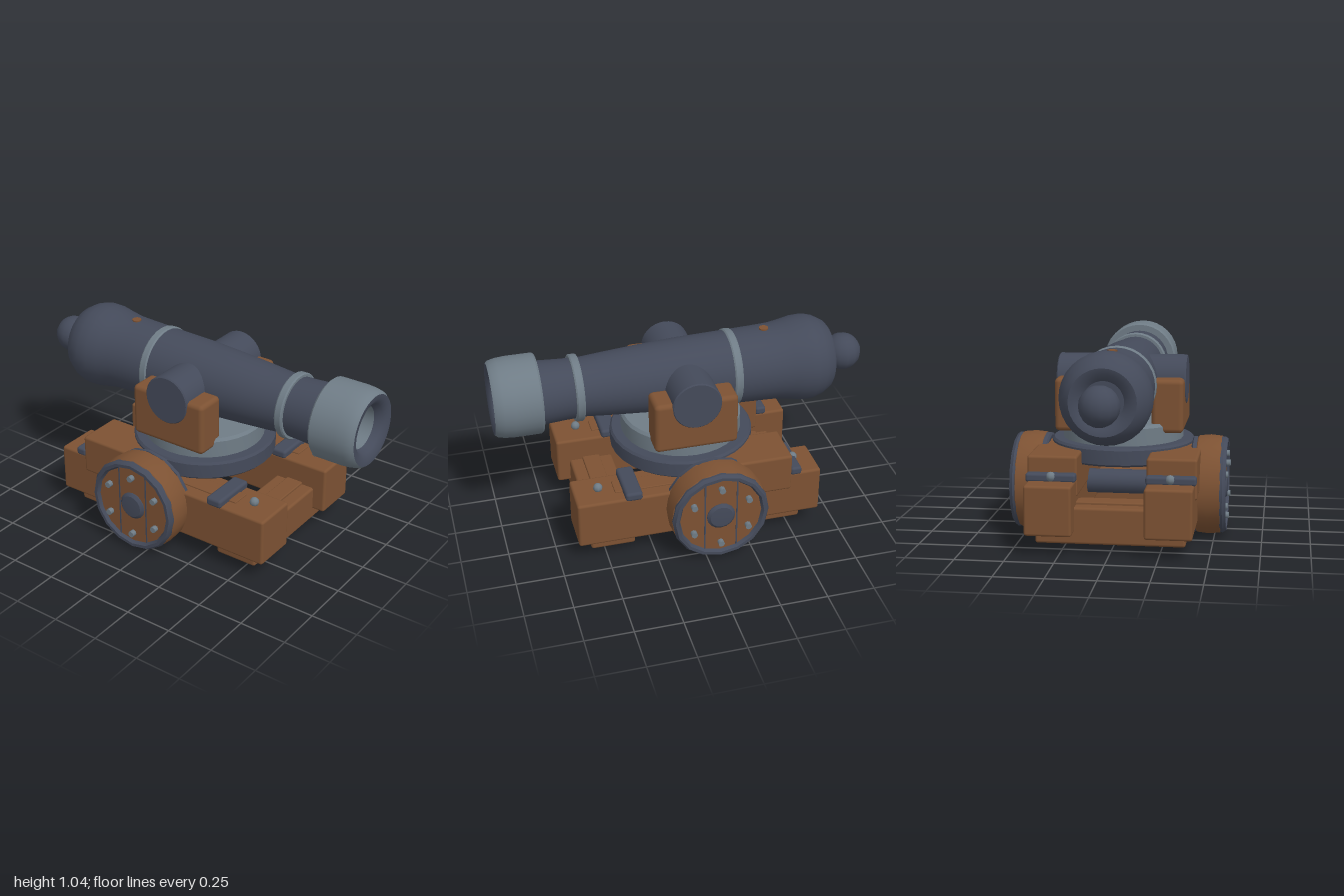
import * as THREE from 'three';
import { toCreasedNormals } from 'three/addons/utils/BufferGeometryUtils.js';
import { RoundedBoxGeometry } from 'three/addons/geometries/RoundedBoxGeometry.js';

const material = (name, color) => {
  const m = new THREE.MeshStandardMaterial({ color });
  m.name = name;
  return m;
};

export function createModel() {
  const root = new THREE.Group();
  root.name = 'cannon';
  const wood = material('wood', 0x7d5233);
  const iron = material('dark iron', 0x444a5a);
  const steel = material('grey steel', 0x6f7c86);

  const add = (parent, name, geometry, mat, x = 0, y = 0, z = 0) => {
    const mesh = new THREE.Mesh(geometry, mat);
    mesh.name = name;
    mesh.position.set(x, y, z);
    parent.add(mesh);
    return mesh;
  };
  // Box given by its low and high limits on each axis
  const box = (parent, name, mat, [x0, x1], [y0, y1], [z0, z1], r = 0.014) =>
    add(parent, name, new RoundedBoxGeometry(x1 - x0, y1 - y0, z1 - z0, 2, r), mat,
      (x0 + x1) / 2, (y0 + y1) / 2, (z0 + z1) / 2);
  // Turned part from [radius, height] pairs, listed along its axis
  const turned = (profile, sides = 32, crease = 0.6) => toCreasedNormals(
    new THREE.LatheGeometry(profile.map(([r, h]) => new THREE.Vector2(r, h)), sides), crease);
  const alongZ = (profile, sides) => turned(profile, sides).rotateX(Math.PI / 2);
  const alongX = (profile, sides, crease) => turned(profile, sides, crease).rotateZ(-Math.PI / 2);

  // Barrel, axis along z
  const gun = new THREE.Group();
  gun.name = 'gun';
  gun.position.y = 0.81;
  root.add(gun);
  add(gun, 'barrel', alongZ([
    [0, -0.77], [0.1, -0.77], [0.135, -0.8], [0.165, -0.806], [0.185, -0.79], [0.215, -0.74],
    [0.229, -0.69], [0.227, -0.63], [0.215, -0.57], [0.204, -0.5], [0.2, -0.4], [0.196, -0.25],
    [0.19, 0], [0.179, 0.2], [0.165, 0.4], [0.155, 0.52], [0.158, 0.62], [0.166, 0.76],
  ]), iron);
  add(gun, 'muzzleBand', alongZ([
    [0.15, 0.752], [0.2, 0.752], [0.209, 0.762], [0.209, 0.9], [0.205, 0.95], [0.197, 0.985], [0.185, 1],
  ]), steel);
  add(gun, 'muzzleLip', alongZ([[0.185, 1], [0.16, 0.998], [0.13, 0.98], [0.112, 0.945]]), iron);
  add(gun, 'bore', alongZ([[0.112, 0.945], [0.11, 0.8], [0, 0.8]]), steel);
  for (const [z, r] of [[0.56, 0.175], [-0.265, 0.203]]) {
    add(gun, 'barrelRing', alongZ([
      [r - 0.03, z - 0.022], [r - 0.005, z - 0.022], [r, z - 0.015],
      [r, z + 0.015], [r - 0.005, z + 0.022], [r - 0.03, z + 0.022],
    ]), steel);
  }
  add(gun, 'knobNeck', alongZ([[0.075, -0.76], [0.055, -0.74]].reverse().map(([r, z]) => [r, z - 0.1]), 16), iron);
  add(gun, 'knob', new THREE.SphereGeometry(0.1, 14, 10), iron, 0, 0, -0.9);
  add(gun, 'ventPlug', new THREE.CylinderGeometry(0.025, 0.025, 0.02, 12), wood, 0, 0.197, -0.45);
  add(gun, 'trunnions', alongX([
    [0, -0.34], [0.124, -0.34], [0.13, -0.334], [0.13, 0.334], [0.124, 0.34], [0, 0.34],
  ]), iron);

  // Turntable
  add(root, 'turntableTop', turned([
    [0, 0.5], [0.32, 0.5], [0.32, 0.59], [0.308, 0.605], [0, 0.605],
  ]), steel);
  add(root, 'turntableBase', turned([
    [0, 0.405], [0.37, 0.405], [0.38, 0.415], [0.38, 0.49], [0.37, 0.502], [0, 0.502],
  ]), iron);

  // Mirrored carriage parts
  const bolt = new THREE.SphereGeometry(0.025, 8, 6);
  for (const side of [1, -1]) {
    const span = (a, b) => (side > 0 ? [a, b] : [-b, -a]);
    box(root, 'trunnionBracket', wood, span(0.17, 0.336), [0.555, 0.835], [-0.22, 0.22], 0.025);
    box(root, 'sideRail', wood, span(0.18, 0.42), [0.105, 0.362], [-0.655, 0.65]);
    box(root, 'raisedBlock', wood, span(0.175, 0.43), [0.27, 0.48], [-0.49, 0.05]);
    box(root, 'railSlat', wood, span(0.25, 0.35), [0.35, 0.369], [0, 0.44], 0.004);
    box(root, 'frontStrap', iron, span(0.175, 0.43), [0.35, 0.398], [0.31, 0.4], 0.016);
    box(root, 'rearStrap', iron, span(0.175, 0.43), [0.355, 0.4], [-0.545, -0.485], 0.014);
    add(root, 'frontBolt', bolt, steel, side * 0.3, 0.378, 0.52);
    add(root, 'rearBolt', bolt, steel, side * 0.3, 0.385, -0.535);

    // Wheel, outer face towards local +x
    const wheel = new THREE.Group();
    wheel.name = side > 0 ? 'leftWheel' : 'rightWheel';
    wheel.position.set(0, 0.263, -0.07);
    wheel.rotation.y = side > 0 ? 0 : Math.PI;
    root.add(wheel);
    add(wheel, 'wheelBody', alongX([
      [0, 0.395], [0.24, 0.395], [0.256, 0.41], [0.262, 0.47], [0.256, 0.53], [0.24, 0.545], [0, 0.545],
    ], 24), wood);
    add(wheel, 'outerRim', alongX([
      [0.256, 0.53], [0.257, 0.545], [0.245, 0.562], [0.228, 0.562], [0.214, 0.54],
    ], 16, 0.5), iron);
    add(wheel, 'innerRim', alongX([
      [0.21, 0.4], [0.222, 0.38], [0.243, 0.377], [0.256, 0.385], [0.256, 0.405],
    ], 16, 0.5), iron);
    add(wheel, 'hub', alongX([[0.075, 0.54], [0.075, 0.55], [0.06, 0.562], [0, 0.566]], 16), iron);
    for (const z of [-0.085, 0.085]) {
      add(wheel, 'plankGroove', new THREE.BoxGeometry(0.004, 0.4, 0.008), iron, 0.545, 0, z);
    }
    for (let i = 0; i < 6; i++) {
      const a = (i * Math.PI) / 3;
      add(wheel, 'wheelBolt', new THREE.CylinderGeometry(0.017, 0.017, 0.03, 8).rotateZ(Math.PI / 2),
        steel, 0.556, 0.168 * Math.cos(a), 0.168 * Math.sin(a));
    }
  }

  // Axle and cross boards
  add(root, 'axle', new THREE.CylinderGeometry(0.065, 0.065, 0.8, 16).rotateZ(Math.PI / 2),
    iron, 0, 0.263, -0.07);
  for (const [z0, z1] of [[0.345, 0.58], [-0.56, -0.33]]) {
    box(root, 'crossBoard', wood, [-0.38, 0.38], [0.045, 0.235], [z0, z1]);
    box(root, 'crossBoardSlat', wood, [-0.19, 0.19], [0.22, 0.248], [z0 + 0.07, z1 - 0.07], 0.006);
  }
  return root;
}
